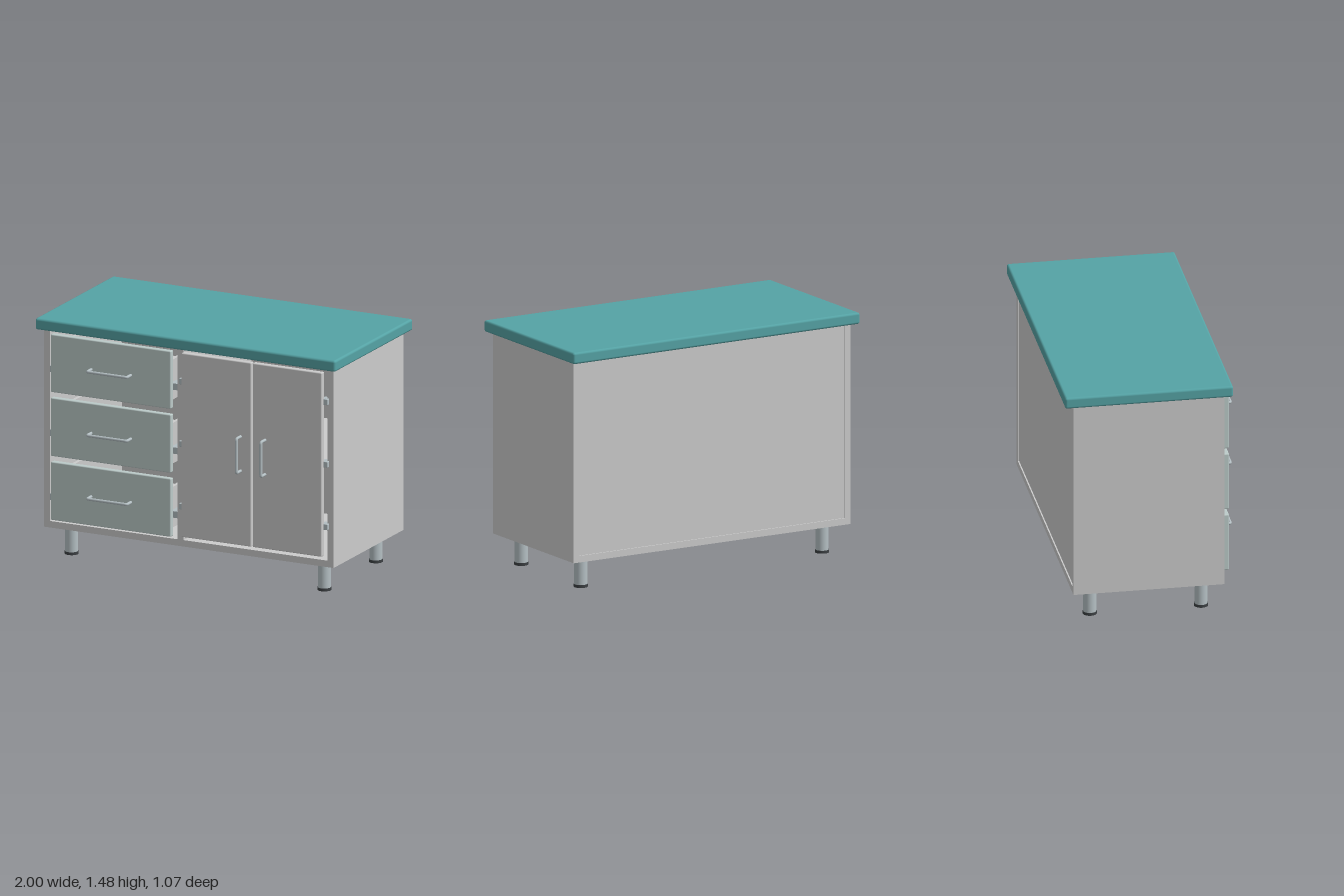
import * as THREE from 'three';
import { RoundedBoxGeometry } from 'three/addons/geometries/RoundedBoxGeometry.js';

const paint = (color) => new THREE.MeshStandardMaterial({ color });

export function createModel() {
  const model = new THREE.Group();
  const grey = paint(0xcccccc), teal = paint(0x55a3a5), tint = paint(0xbccbc9);
  const steel = paint(0xb4bfc3), dark = paint(0x3c4043);

  const add = (name, geometry, material, parent = model) => {
    const mesh = new THREE.Mesh(geometry, material);
    mesh.name = name;
    parent.add(mesh);
    return mesh;
  };
  // Box given by its limits; a radius rounds the edges
  const box = (name, [x0, x1], [y0, y1], [z0, z1], material = grey, radius = 0, parent = model) => {
    const size = [x1 - x0, y1 - y0, z1 - z0];
    const geometry = radius ? new RoundedBoxGeometry(...size, 3, radius) : new THREE.BoxGeometry(...size);
    const mesh = add(name, geometry, material, parent);
    mesh.position.set((x0 + x1) / 2, (y0 + y1) / 2, (z0 + z1) / 2);
    return mesh;
  };

  // Bar handle: a tube with tight bends at both ends, legs towards -z
  const handle = (name, length, x, y, turn) => {
    const h = length / 2 - 0.008, r = 0.012, front = 0.526, back = 0.46;
    const v = (a, z) => new THREE.Vector3(a, 0, z);
    const path = new THREE.CurvePath();
    path.add(new THREE.LineCurve3(v(-h, back), v(-h, front - r)));
    path.add(new THREE.QuadraticBezierCurve3(v(-h, front - r), v(-h, front), v(-h + r, front)));
    path.add(new THREE.LineCurve3(v(-h + r, front), v(h - r, front)));
    path.add(new THREE.QuadraticBezierCurve3(v(h - r, front), v(h, front), v(h, front - r)));
    path.add(new THREE.LineCurve3(v(h, front - r), v(h, back)));
    const mesh = add(name, new THREE.TubeGeometry(path, 100, 0.009, 12), steel);
    mesh.position.set(x, y, 0);
    mesh.rotation.z = turn;
  };

  // Worktop and carcass
  box('worktop', [-1, 1], [1.405, 1.475], [-0.535, 0.478], teal, 0.014);
  box('basePanel', [-0.965, 0.965], [0.18, 0.22], [-0.48, 0.43]);
  box('rightSidePanel', [-0.965, -0.925], [0.22, 1.405], [-0.48, 0.43]);
  box('leftSidePanel', [0.925, 0.965], [0.22, 1.405], [-0.48, 0.43]);
  box('divider', [-0.075, -0.035], [0.22, 1.405], [-0.46, 0.43]);
  box('backPanel', [-0.925, 0.925], [0.22, 1.405], [-0.472, -0.455]);
  box('shelf', [-0.035, 0.925], [0.78, 0.81], [-0.455, 0.38]);

  // Drawers: front, open tray, runners and handle
  [[0.24, 0.6, 0.42], [0.635, 0.995, 0.812], [1.03, 1.387, 1.205]].forEach(([y0, y1, handleY]) => {
    const drawer = new THREE.Group();
    drawer.name = 'drawer';
    model.add(drawer);
    const depth = [-0.4, 0.436], tray = [y0 + 0.04, y1 - 0.07];
    box('drawerFront', [-0.9, -0.1], [y0, y1], [0.434, 0.47], tint, 0.007, drawer);
    box('drawerBottom', [-0.88, -0.12], [y0 + 0.04, y0 + 0.055], depth, grey, 0, drawer);
    box('drawerBack', [-0.88, -0.12], tray, [-0.4, -0.38], grey, 0, drawer);
    for (const x of [-0.88, -0.14]) box('drawerSide', [x, x + 0.02], tray, depth, grey, 0, drawer);
    const mid = y0 + 0.13;
    for (const x of [-0.925, -0.12])
      box('drawerRunner', [x, x + 0.045], [mid - 0.02, mid + 0.02], [-0.4, 0.432], steel, 0, drawer);
    handle('drawerHandle', 0.28, -0.497, handleY, 0);
  });

  // Doors with upright handles
  box('rightDoor', [-0.03, 0.436], [0.25, 1.387], [0.434, 0.47], grey, 0.007);
  box('leftDoor', [0.445, 0.906], [0.25, 1.387], [0.434, 0.47], grey, 0.007);
  for (const x of [0.366, 0.529]) handle('doorHandle', 0.228, x, 0.817, Math.PI / 2);

  // Hinges: a plate on the carcass and a knuckle beside the door edge
  for (const x of [-0.04, 0.922]) {
    for (const y of [0.432, 0.818, 1.204]) {
      box('hingePlate', [x - 0.014, x + 0.014], [y - 0.018, y + 0.018], [0.425, 0.452], steel, 0.003);
      const inner = x < 0 ? [x + 0.005, x + 0.04] : [x - 0.04, x - 0.005];
      box('hingeArm', inner, [y - 0.012, y + 0.012], [0.38, 0.438], steel);
    }
  }

  // Round legs with dark feet
  for (const x of [-0.842, 0.842]) {
    for (const z of [-0.36, 0.31]) {
      add('leg', new THREE.CylinderGeometry(0.039, 0.039, 0.167, 32), steel).position.set(x, 0.0985, z);
      add('foot', new THREE.CylinderGeometry(0.042, 0.042, 0.017, 32), dark).position.set(x, 0.0085, z);
    }
  }
  return model;
}
